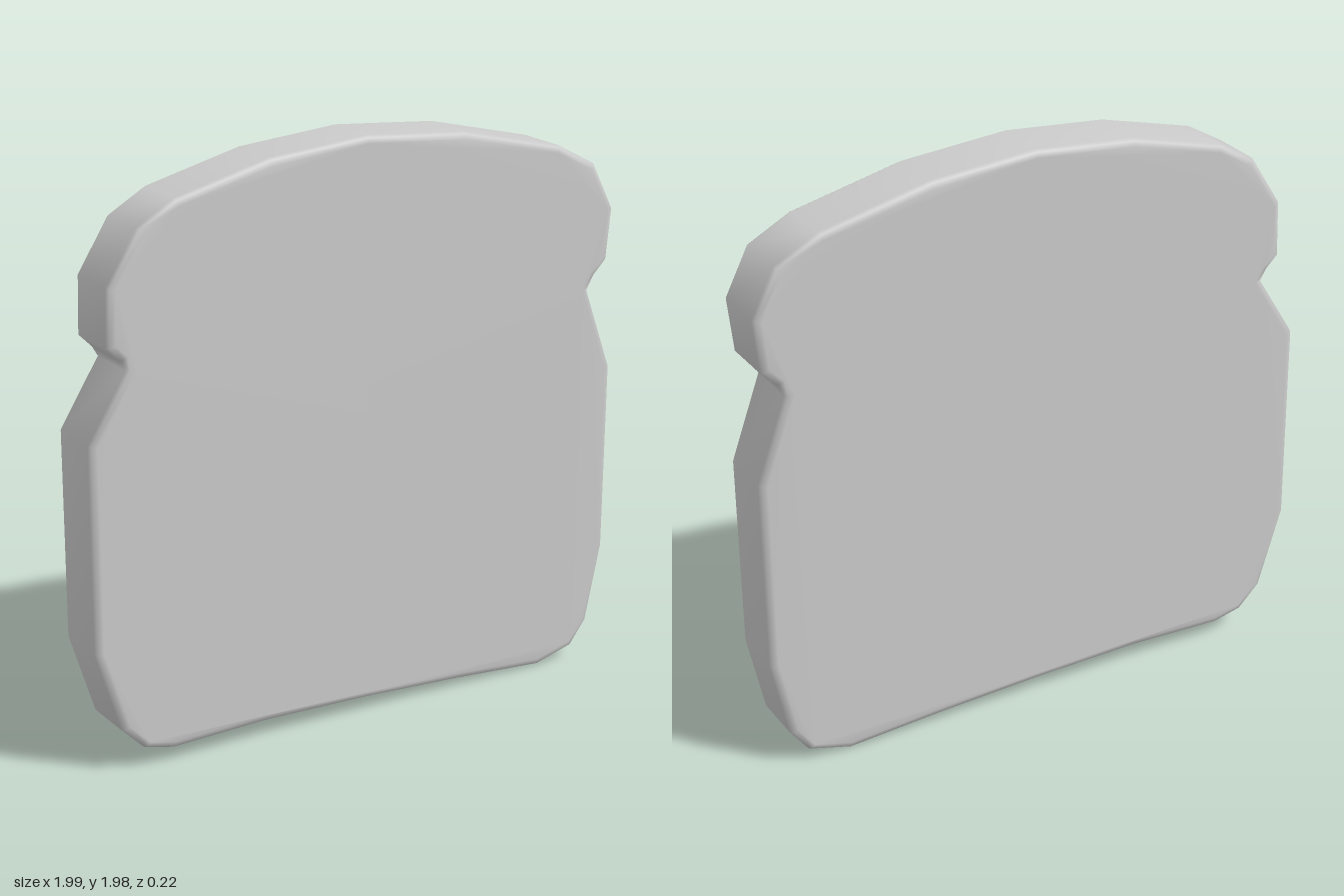
import * as THREE from 'three';
import { mergeVertices } from 'three/addons/utils/BufferGeometryUtils.js';

// Slice outline, counter-clockwise from the bottom right corner
const OUTLINE = [
  [0.72, 0], [0.865, 0.04], [0.93, 0.125], [0.99, 0.4], [0.997, 1.06],
  [0.895, 1.345], [0.92, 1.39], [0.97, 1.44], [0.99, 1.62], [0.91, 1.78],
  [0.76, 1.86], [0.38, 1.95], [0.01, 1.98], [-0.345, 1.95], [-0.68, 1.865],
  [-0.81, 1.79], [-0.92, 1.615], [-0.925, 1.425], [-0.88, 1.38], [-0.86, 1.345],
  [-0.997, 1.125], [-0.997, 0.43], [-0.91, 0.15], [-0.83, 0.07], [-0.725, 0.045],
  [-0.39, 0.055], [0, 0.045], [0.38, 0.025],
];
const THICKNESS = 0.224;
const BEVEL = 0.025;
const BEVEL_DEPTH = 0.02;

export function createModel() {
  const shape = new THREE.Shape(OUTLINE.map(([x, y]) => new THREE.Vector2(x, y)));
  const depth = THICKNESS - 2 * BEVEL_DEPTH;
  const extruded = new THREE.ExtrudeGeometry(shape, {
    depth,
    bevelSize: BEVEL,
    bevelOffset: -BEVEL,
    bevelThickness: BEVEL_DEPTH,
    bevelSegments: 2,
  });
  extruded.translate(0, 0, -depth / 2);

  // Weld the caps, rounded rim and crust so the shading runs smoothly across them
  extruded.deleteAttribute('uv');
  extruded.deleteAttribute('normal');
  extruded.clearGroups();
  const geometry = mergeVertices(extruded, 1e-4);
  geometry.computeVertexNormals();

  const slice = new THREE.Mesh(geometry, new THREE.MeshStandardMaterial({ color: 0xcccccc }));
  slice.name = 'breadSlice';

  const group = new THREE.Group();
  group.name = 'bread';
  group.add(slice);
  return group;
}
